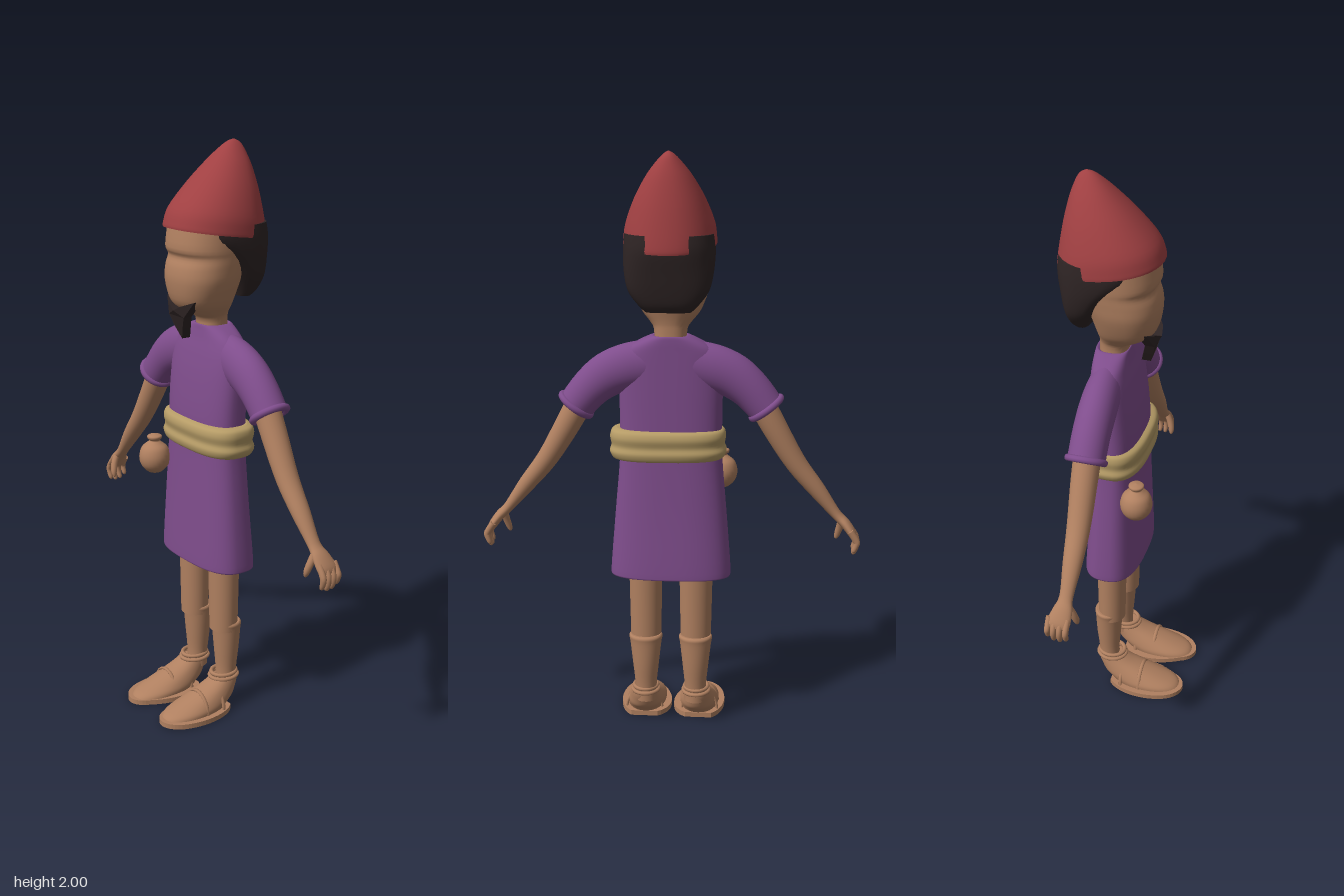
import * as THREE from 'three';

const colour = (name, hex, side = THREE.FrontSide) => {
  const m = new THREE.MeshStandardMaterial({ color: hex, side });
  m.name = name;
  return m;
};

// Catmull-Rom resampling of rows of numbers
function resample(rows, sub) {
  const out = [];
  const at = i => rows[Math.max(0, Math.min(rows.length - 1, i))];
  for (let i = 0; i < rows.length - 1; i++) {
    for (let k = 0; k < sub; k++) {
      const t = k / sub;
      out.push(rows[i].map((_, n) => {
        const a = at(i - 1)[n], b = at(i)[n], c = at(i + 1)[n], d = at(i + 2)[n];
        return b + 0.5 * t * (c - a + t * (2 * a - 5 * b + 4 * c - d + t * (3 * (b - c) + d - a)));
      }));
    }
  }
  out.push(rows[rows.length - 1]);
  return out;
}

// Skin of superellipse rings [x, y, z, radiusU, radiusZ] along a path
function sweep(rows, { p = 2, level = false, sub = 4, seg = 32, caps = true, shear = 0 } = {}) {
  const rings = resample(rows, sub), pos = [], idx = [];
  const zAxis = new THREE.Vector3(0, 0, 1);
  const centre = r => new THREE.Vector3(r[0], r[1], r[2]);
  const bend = (c, e) => Math.sign(c) * Math.abs(c) ** e;
  rings.forEach((r, i) => {
    const t = centre(rings[Math.min(i + 1, rings.length - 1)]).sub(centre(rings[Math.max(i - 1, 0)]));
    t.z = 0;
    const u = level ? new THREE.Vector3(1, 0, 0) : t.normalize().cross(zAxis);
    for (let j = 0; j < seg; j++) {
      const a = (j / seg) * Math.PI * 2;
      const c = bend(Math.cos(a), 2 / p) * r[3], s = bend(Math.sin(a), 2 / p) * r[4];
      pos.push(r[0] + u.x * c, r[1] + u.y * c + shear * s, r[2] + s);
    }
  });
  const last = rings.length - 1;
  for (let i = 0; i < last; i++) {
    for (let j = 0; j < seg; j++) {
      const a = i * seg + j, b = i * seg + (j + 1) % seg;
      idx.push(a, a + seg, b, b, a + seg, b + seg);
    }
  }
  if (caps) {
    for (const i of [0, last]) {
      const base = pos.length / 3;
      pos.push(...pos.slice(i * seg * 3, (i + 1) * seg * 3), rings[i][0], rings[i][1], rings[i][2]);
      for (let j = 0; j < seg; j++) {
        const a = base + j, b = base + (j + 1) % seg;
        idx.push(base + seg, ...(i ? [b, a] : [a, b]));
      }
    }
  }
  const g = new THREE.BufferGeometry();
  g.setAttribute('position', new THREE.Float32BufferAttribute(pos, 3));
  g.setIndex(idx);
  g.computeVertexNormals();
  return g;
}

// Upright skin from rows [y, frontZ, backZ, halfWidth]
const stack = (rows, opts = {}, x = 0) =>
  sweep(rows.map(([y, f, b, w]) => [x, y, (f + b) / 2, w, (f - b) / 2]), { level: true, ...opts });

export function createModel() {
  const skin = colour('tan', 0xb08060);
  const purple = colour('purple', 0x7f4d8c, THREE.DoubleSide);
  const red = colour('red', 0xa04042);
  const sash = colour('straw', 0xb59b66);
  const dark = colour('dark brown', 0x2e2424);

  const model = new THREE.Group();
  const add = (name, geometry, material) => {
    const m = new THREE.Mesh(geometry, material);
    m.name = name;
    model.add(m);
    return m;
  };

  // Head and neck
  add('head', stack([
    [1.36, 0, -0.1, 0.055], [1.42, 0, -0.1, 0.056], [1.445, 0.045, -0.102, 0.072],
    [1.48, 0.088, -0.11, 0.1], [1.55, 0.104, -0.13, 0.126], [1.6, 0.1, -0.15, 0.132],
    [1.635, 0.088, -0.16, 0.134], [1.665, 0.1, -0.17, 0.136], [1.75, 0.088, -0.18, 0.135],
  ], { p: 2.3 }), skin);

  add('hair', stack([
    [1.49, -0.12, -0.172, 0.075], [1.515, -0.11, -0.188, 0.1], [1.56, -0.085, -0.2, 0.132],
    [1.62, -0.035, -0.212, 0.146], [1.69, 0.05, -0.225, 0.15], [1.74, 0.06, -0.22, 0.146],
  ], { p: 2.8 }), dark);

  // Pointed hat, its apex leaning back
  add('hat', stack([
    [1.705, 0.112, -0.234, 0.153], [1.72, 0.11, -0.235, 0.153], [1.77, 0.09, -0.228, 0.146],
    [1.85, 0.025, -0.213, 0.115], [1.92, -0.04, -0.195, 0.076], [1.965, -0.085, -0.178, 0.042],
    [1.99, -0.115, -0.163, 0.018], [2.0, -0.138, -0.142, 0.002],
  ], { p: 2.15, shear: 0.14 }), red);

  // Forked goatee, curved round the chin
  const goatee = new THREE.Shape([
    [0, 1.36], [0.022, 1.4], [0.042, 1.44], [0.078, 1.495], [0.035, 1.478], [0, 1.46],
    [-0.035, 1.478], [-0.078, 1.495], [-0.042, 1.44], [-0.022, 1.4],
  ].map(q => new THREE.Vector2(...q)));
  const beard = new THREE.ExtrudeGeometry(goatee, { depth: 0.032, bevelEnabled: false });
  const bp = beard.attributes.position;
  for (let i = 0; i < bp.count; i++) {
    const x = bp.getX(i), y = bp.getY(i);
    bp.setZ(i, bp.getZ(i) + 0.074 - 5 * x * x - 0.4 * Math.max(0, 1.45 - y));
  }
  beard.computeVertexNormals();
  add('beard', beard, dark);

  // Tunic, open at the hem
  add('tunic', stack([
    [0.566, 0.045, -0.118, 0.19], [0.56, 0.06, -0.133, 0.204], [0.58, 0.063, -0.136, 0.208],
    [0.78, 0.056, -0.122, 0.192], [0.98, 0.05, -0.113, 0.175], [1.1, 0.048, -0.112, 0.174],
    [1.22, 0.036, -0.112, 0.175], [1.3, 0.022, -0.112, 0.172], [1.35, 0.01, -0.112, 0.15],
    [1.38, 0.004, -0.112, 0.108], [1.4, 0, -0.11, 0.062], [1.396, -0.008, -0.1, 0.052],
  ], { p: 2.7, caps: false, seg: 48 }), purple);

  add('sash', stack([
    [0.972, 0.05, -0.113, 0.175], [0.978, 0.066, -0.126, 0.19], [1.0, 0.073, -0.133, 0.2],
    [1.022, 0.067, -0.127, 0.194], [1.05, 0.073, -0.133, 0.198], [1.072, 0.066, -0.126, 0.192],
    [1.08, 0.045, -0.11, 0.174],
  ], { p: 2.7, seg: 48 }), sash).rotation.z = -0.01;

  // Hanging gourd
  const gourd = [[0, 0.838], [0.025, 0.844], [0.048, 0.868], [0.055, 0.9], [0.046, 0.932],
    [0.026, 0.95], [0.018, 0.958], [0.025, 0.966], [0.024, 0.976], [0, 0.982]];
  const curve = new THREE.SplineCurve(gourd.map(q => new THREE.Vector2(...q)));
  add('gourd', new THREE.LatheGeometry(curve.getPoints(36), 24), skin).position.set(-0.17, 0, 0.072);

  for (const s of [1, -1]) {
    const side = s > 0 ? 'left ' : 'right ';
    const path = (rows, opts) => sweep(rows.map(([x, ...r]) => [s * x, ...r]), opts);

    // Sleeve with rolled cuff
    add(side + 'sleeve', path([
      [0.06, 1.305, -0.053, 0.08, 0.055], [0.14, 1.29, -0.052, 0.08, 0.06],
      [0.21, 1.262, -0.05, 0.076, 0.062], [0.27, 1.215, -0.05, 0.068, 0.062],
      [0.325, 1.15, -0.05, 0.062, 0.062],
    ]), purple);
    const cuff = add(side + 'cuff', new THREE.TorusGeometry(0.059, 0.012, 10, 32), purple);
    cuff.position.set(s * 0.322, 1.155, -0.05);
    cuff.lookAt(s * (0.322 + 0.6), 1.155 - 0.8, -0.05);

    // Arm, hand and fingers
    add(side + 'arm', path([
      [0.29, 1.2, -0.05, 0.046, 0.046], [0.35, 1.09, -0.049, 0.043, 0.044],
      [0.425, 0.965, -0.045, 0.036, 0.039], [0.5, 0.87, -0.043, 0.029, 0.032],
      [0.565, 0.787, -0.043, 0.018, 0.023], [0.597, 0.755, -0.046, 0.017, 0.033],
      [0.622, 0.722, -0.052, 0.015, 0.04], [0.63, 0.705, -0.054, 0.011, 0.036],
    ], { seg: 24 }), skin);
    for (let f = 0; f < 4; f++) {
      const z = -0.024 - 0.0205 * f, tip = 0.65 + [0.008, 0, 0.002, 0.014][f];
      add(side + 'finger', path([
        [0.615, 0.735, z, 0.011, 0.0105], [0.636, 0.702, z, 0.012, 0.0105],
        [0.637, tip + 0.025, z - 0.001, 0.0105, 0.0098], [0.629, tip + 0.003, z - 0.002, 0.008, 0.008],
        [0.627, tip - 0.004, z - 0.002, 0.002, 0.002],
      ], { seg: 12, sub: 3 }), skin);
    }
    add(side + 'thumb', path([
      [0.588, 0.768, -0.03, 0.013, 0.013], [0.584, 0.735, -0.016, 0.013, 0.013],
      [0.576, 0.704, -0.008, 0.011, 0.011], [0.571, 0.687, -0.007, 0.006, 0.006],
      [0.57, 0.683, -0.007, 0.001, 0.001],
    ], { seg: 12, sub: 3 }), skin);

    // Leg with a wrapped shin
    const x = s * 0.088;
    add(side + 'thigh', stack([[0.3, 0.005, -0.092, 0.053], [0.45, 0.008, -0.094, 0.056],
      [0.68, 0.012, -0.098, 0.06]], {}, x), skin);
    add(side + 'shin', stack([
      [0.08, -0.015, -0.09, 0.038], [0.14, -0.018, -0.092, 0.038], [0.22, -0.012, -0.1, 0.046],
      [0.3, -0.006, -0.104, 0.055], [0.322, -0.002, -0.106, 0.059], [0.33, -0.006, -0.1, 0.055],
    ], {}, x), skin);
    for (const [y, r] of [[0.114, 0.046], [0.128, 0.041]]) {
      const ring = add(side + 'ankleStrap', new THREE.TorusGeometry(r, 0.007, 8, 32), skin);
      ring.rotation.x = Math.PI / 2;
      ring.scale.y = 1.12;
      ring.position.set(s * 0.09, y, -0.043);
    }

    // Foot, sole and sandal straps
    const fx = s * 0.1;
    add(side + 'foot', stack([
      [0.014, 0.222, -0.03, 0.07], [0.03, 0.205, -0.045, 0.07], [0.05, 0.155, -0.068, 0.063],
      [0.075, 0.088, -0.08, 0.053], [0.095, 0.04, -0.087, 0.046], [0.115, 0.005, -0.09, 0.04],
    ], { p: 2.2 }, s * 0.096), skin);
    const sole = new THREE.Shape();
    sole.moveTo(s * 0.05, 0.035);
    sole.bezierCurveTo(s * -0.01, 0, s * -0.01, -0.1, s * 0.045, -0.19);
    sole.bezierCurveTo(s * 0.07, -0.25, s * 0.13, -0.25, s * 0.165, -0.19);
    sole.bezierCurveTo(s * 0.2, -0.12, s * 0.195, -0.01, s * 0.145, 0.035);
    sole.closePath();
    const soleMesh = add(side + 'sole', new THREE.ExtrudeGeometry(sole,
      { depth: 0.018, bevelEnabled: false, curveSegments: 14 }), skin);
    soleMesh.rotation.x = -Math.PI / 2;
    for (const [z, w, h] of [[0.078, 0.064, 0.074], [0.008, 0.064, 0.078]]) {
      const strap = add(side + 'sandalStrap', new THREE.TorusGeometry(1, 0.07, 8, 24, Math.PI), skin);
      strap.scale.set(w, h, 0.1);
      strap.position.set(fx, 0.012, z);
    }
  }
  return model;
}
